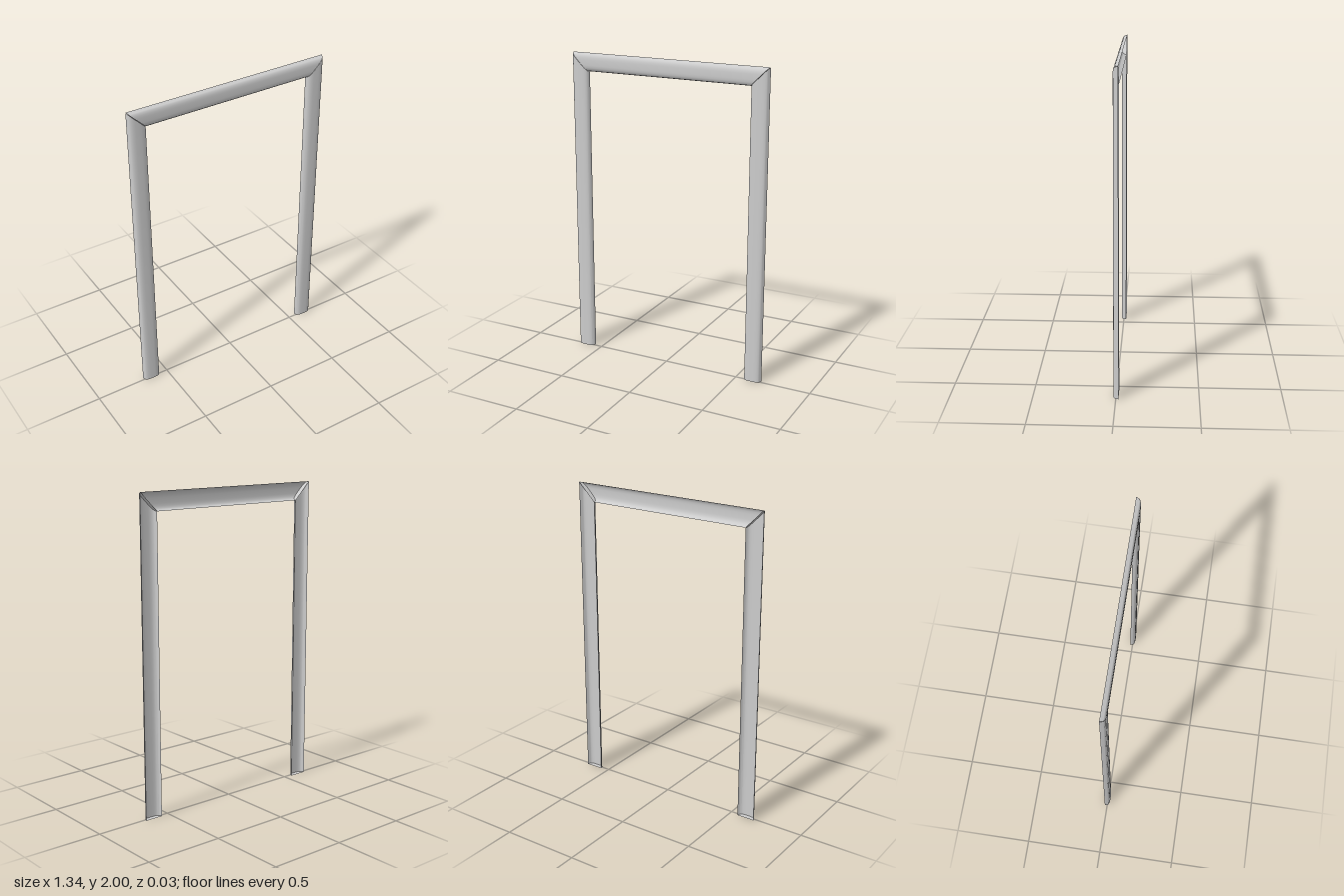
import * as THREE from 'three';
import { toCreasedNormals } from 'three/addons/utils/BufferGeometryUtils.js';

const HALF = 0.67, TOP = 2, GAP = 0.0015;

// Moulding section: [distance in from the outer edge, z]
const profile = [
  [0, -0.016], [0.003, -0.006], [0.007, 0.004], [0.014, 0.010], [0.026, 0.0145], [0.042, 0.016],
  [0.075, 0.016], [0.091, 0.0145], [0.103, 0.010], [0.110, 0.004], [0.114, -0.006], [0.117, -0.016],
];

// Open-backed strip between two end sections, each closed by a cap
function moulding(name, startAt, endAt, material) {
  const a = profile.map(([u, z]) => startAt(u, z));
  const b = profile.map(([u, z]) => endAt(u, z));
  const pos = [];
  const tri = (...pts) => pts.forEach((p) => pos.push(...p));
  for (let i = 0; i < a.length - 1; i++) {
    tri(a[i], b[i], b[i + 1]);
    tri(a[i], b[i + 1], a[i + 1]);
    if (i > 0) {
      tri(a[0], a[i], a[i + 1]);
      tri(b[0], b[i + 1], b[i]);
    }
  }
  const geometry = new THREE.BufferGeometry();
  geometry.setAttribute('position', new THREE.Float32BufferAttribute(pos, 3));
  const mesh = new THREE.Mesh(toCreasedNormals(geometry, 0.7), material);
  mesh.name = name;
  return mesh;
}

export function createModel() {
  const group = new THREE.Group();
  group.name = 'doorCasing';
  const material = new THREE.MeshStandardMaterial({ color: 0xcccccc, side: THREE.DoubleSide });

  // Side legs, square at the floor and mitred at the top
  const leftFoot = (u, z) => [HALF - u, 0, z];
  const leftMitre = (u, z) => [HALF - u, TOP - u - GAP, z];
  const rightFoot = (u, z) => [u - HALF, 0, z];
  const rightMitre = (u, z) => [u - HALF, TOP - u - GAP, z];
  group.add(moulding('leftLeg', leftMitre, leftFoot, material));
  group.add(moulding('rightLeg', rightFoot, rightMitre, material));

  // Head rail, mitred at both ends
  const railEnd = (side) => (u, z) => [side * (HALF - u - GAP), TOP - u, z];
  group.add(moulding('headRail', railEnd(-1), railEnd(1), material));
  return group;
}
